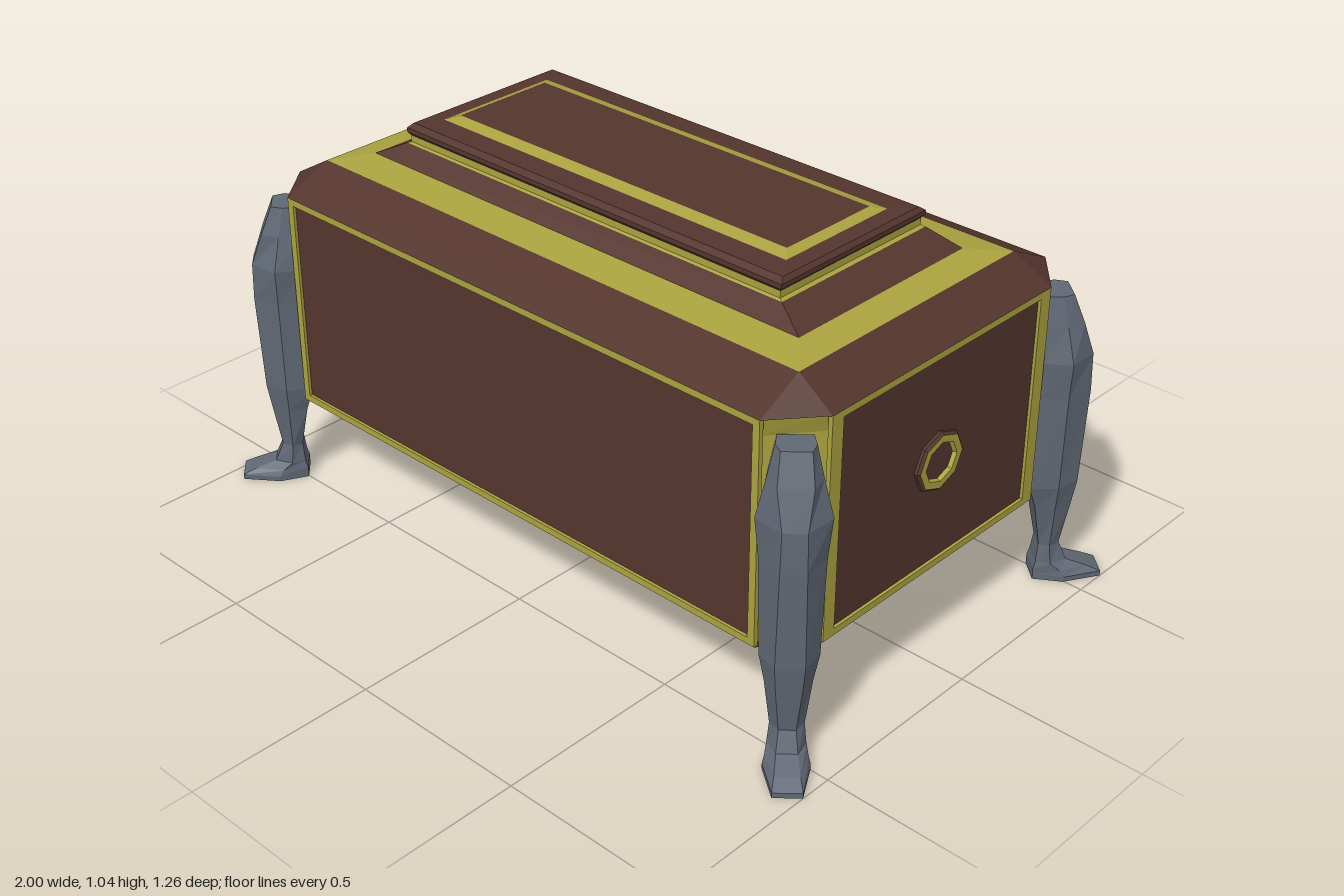
import * as THREE from 'three';

const material = (color) => new THREE.MeshStandardMaterial({ color, flatShading: true });
const wood = material(0x54352d);
const gold = material(0xaaa23f);
const metal = material(0x606874);

function addMesh(parent, name, geometry, mat) {
  const mesh = new THREE.Mesh(geometry, mat);
  mesh.name = name;
  parent.add(mesh);
  return mesh;
}

// Joins rings of points (lowest first) with flat faces, closing the chosen ends
function loft(rings, closeBottom = false, closeTop = false) {
  const out = [];
  const tri = (a, b, c) => {
    if (a.equals(b) || b.equals(c) || a.equals(c)) return;
    for (const p of [a, b, c]) out.push(p.x, p.y, p.z);
  };
  const n = rings[0].length;
  for (let r = 0; r + 1 < rings.length; r++) {
    const a = rings[r], b = rings[r + 1];
    for (let i = 0; i < n; i++) {
      const j = (i + 1) % n;
      tri(a[i], a[j], b[j]);
      tri(a[i], b[j], b[i]);
    }
  }
  const last = rings[rings.length - 1];
  for (let i = 1; i + 1 < n; i++) {
    if (closeBottom) tri(rings[0][0], rings[0][i + 1], rings[0][i]);
    if (closeTop) tri(last[0], last[i], last[i + 1]);
  }
  const geometry = new THREE.BufferGeometry();
  geometry.setAttribute('position', new THREE.Float32BufferAttribute(out, 3));
  geometry.computeVertexNormals();
  return geometry;
}

// Rectangle ring with cut corners: half sizes x, z; cuts start at cx and cz
function ring([y, x, z, cx = x, cz = z]) {
  return [[-cx, z], [cx, z], [x, cz], [x, -cz], [cx, -z], [-cx, -z], [-x, -cz], [-x, cz]]
    .map(([px, pz]) => new THREE.Vector3(px, y, pz));
}

// Leg ring: back, middle and front depth, each with its half width
function legRing([y, b, wb, m, wm, f, wf]) {
  return [[-wf, f], [wf, f], [wm, m], [wb, b], [-wb, b], [-wm, m]]
    .map(([px, pz]) => new THREE.Vector3(px, y, pz));
}

// Rectangular border with an opening
function frameGeometry(w, h, innerW, innerH, depth) {
  const rect = (Type, a, b) => new Type([[-a, -b], [a, -b], [a, b], [-a, b]]
    .map(([x, y]) => new THREE.Vector2(x, y)));
  const shape = rect(THREE.Shape, w, h);
  shape.holes.push(rect(THREE.Path, innerW, innerH));
  return new THREE.ExtrudeGeometry(shape, { depth, bevelEnabled: false });
}

export function createModel() {
  const model = new THREE.Group();
  model.name = 'chest';

  // Body core with recessed corners that flare under the lid
  addMesh(model, 'bodyCore', loft([
    [0.27, 0.878, 0.508, 0.775, 0.375],
    [0.81, 0.878, 0.508, 0.775, 0.375],
    [0.86, 0.878, 0.508, 0.79, 0.4],
  ].map(ring)), gold);
  addMesh(model, 'base', loft([
    [0.23, 0.79, 0.39],
    [0.27, 0.89, 0.52, 0.79, 0.4],
  ].map(ring), true, true), wood);

  // Framed panels on all four sides
  for (let i = 0; i < 4; i++) {
    const long = i % 2 === 0;
    const side = new THREE.Group();
    side.name = ['front', 'left', 'back', 'right'][i] + 'Side';
    side.rotation.y = i * Math.PI / 2;
    model.add(side);
    const half = long ? 0.79 : 0.4;
    const inner = long ? 0.77 : 0.362;
    const reach = long ? 0.508 : 0.878;
    const frame = addMesh(side, 'frame', frameGeometry(half, 0.295, inner, 0.277, 0.012), gold);
    frame.position.set(0, 0.565, reach);
    const panel = addMesh(side, 'panel', new THREE.PlaneGeometry(inner * 2, 0.554), wood);
    panel.position.set(0, 0.565, reach + 0.004);

    // Eight-sided medallion on the short sides
    if (!long) {
      const medallion = new THREE.Group();
      medallion.name = 'medallion';
      medallion.position.set(0, 0.565, reach);
      medallion.rotation.x = Math.PI / 2;
      medallion.scale.z = 0.9;
      side.add(medallion);
      const profile = (points) => new THREE.LatheGeometry(
        points.map(([r, y]) => new THREE.Vector2(r, y)), 8);
      addMesh(medallion, 'rim', profile([[0.086, 0], [0.086, 0.012], [0.079, 0.018]]), wood);
      addMesh(medallion, 'ring', profile([[0.079, 0.018], [0.058, 0.018], [0.054, 0.008]]), gold);
      addMesh(medallion, 'centre', profile([[0.054, 0.008], [0, 0.008]]), wood);
    }
  }

  // Stepped lid, in alternating bands from the rim to the top
  const bands = [
    ['lidRim', wood, [[0.86, 0.89, 0.52, 0.79, 0.4], [0.922, 0.785, 0.39]], true, false],
    ['lidGoldBand', gold, [[0.922, 0.785, 0.39], [0.936, 0.705, 0.296]]],
    ['lidSlope', wood, [[0.936, 0.705, 0.296], [0.978, 0.622, 0.258]]],
    ['lidGoldNeck', gold, [[0.978, 0.622, 0.258], [0.982, 0.612, 0.252], [1.0, 0.612, 0.252]]],
    ['lidCrown', wood, [[1.0, 0.612, 0.252], [1.008, 0.62, 0.258], [1.02, 0.62, 0.258],
      [1.031, 0.61, 0.243], [1.033, 0.566, 0.18]]],
    ['lidInlay', gold, [[1.033, 0.566, 0.18], [1.042, 0.54, 0.147]]],
    ['lidTopPanel', wood, [[1.041, 0.54, 0.147], [1.042, 0.54, 0.147]], false, true],
  ];
  for (const [name, mat, sections, bottom, top] of bands) {
    addMesh(model, name, loft(sections.map(ring), bottom, top), mat);
  }

  // Faceted legs with pointed feet, one across each corner
  const legGeometry = loft([
    [0, 0.025, 0.035, 0.1, 0.055, 0.2, 0.035],
    [0.014, 0.025, 0.035, 0.1, 0.055, 0.2, 0.035],
    [0.03, 0.025, 0.035, 0.09, 0.05, 0.165, 0.03],
    [0.05, 0.03, 0.032, 0.065, 0.045, 0.11, 0.025],
    [0.1, 0.035, 0.026, 0.06, 0.04, 0.088, 0.02],
    [0.22, 0.012, 0.045, 0.06, 0.055, 0.105, 0.03],
    [0.29, -0.01, 0.06, 0.06, 0.068, 0.115, 0.034],
    [0.55, -0.01, 0.065, 0.06, 0.075, 0.125, 0.03],
    [0.65, -0.01, 0.07, 0.06, 0.085, 0.122, 0.028],
    [0.74, -0.01, 0.055, 0.045, 0.062, 0.09, 0.04],
    [0.815, -0.01, 0.04, 0.03, 0.045, 0.06, 0.034],
  ].map(legRing), true, true);
  for (const sx of [-1, 1]) {
    for (const sz of [-1, 1]) {
      const name = (sz > 0 ? 'front' : 'back') + (sx > 0 ? 'Left' : 'Right') + 'Leg';
      const leg = addMesh(model, name, legGeometry, metal);
      leg.position.set(sx * 0.84, 0, sz * 0.46);
      leg.rotation.y = Math.atan2(sx * 0.669, sz * 0.743);
    }
  }
  return model;
}
